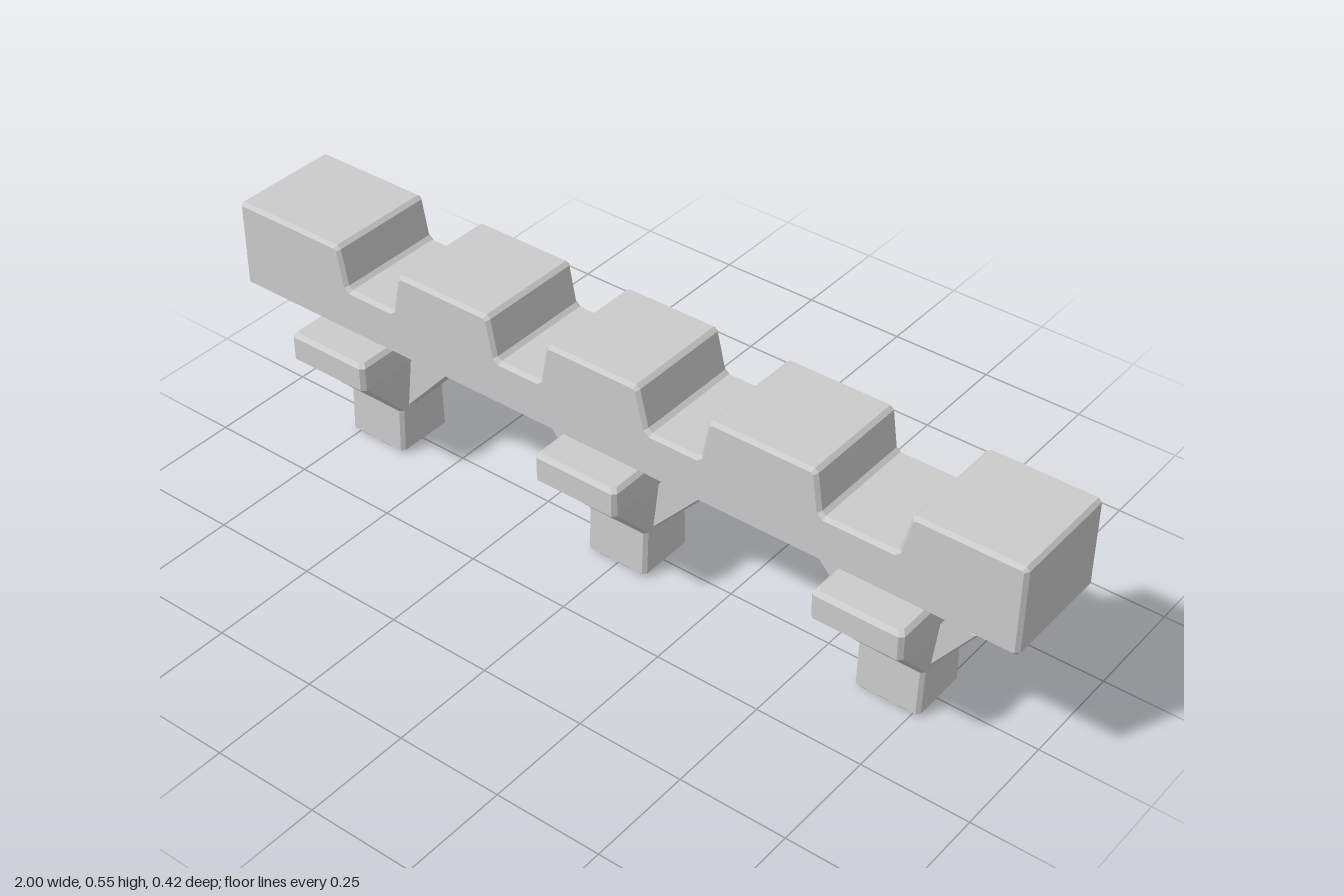
import * as THREE from 'three';

const material = new THREE.MeshStandardMaterial({ color: 0xcccccc, flatShading: true });

// Cuts every corner of a polygon by c
function chamfer(points, c) {
  const out = [];
  points.forEach((p, i) => {
    const here = new THREE.Vector2(...p);
    for (const j of [i + points.length - 1, i + 1]) {
      const dir = new THREE.Vector2(...points[j % points.length]).sub(here).normalize();
      out.push(here.clone().addScaledVector(dir, c));
    }
  });
  return out;
}

// Side profile extruded across z, with all edges bevelled
function extrudeProfile(name, points, halfDepth, bevel) {
  const geometry = new THREE.ExtrudeGeometry(new THREE.Shape(chamfer(points, bevel)), {
    depth: 2 * (halfDepth - bevel), bevelEnabled: true, bevelSegments: 1,
    bevelThickness: bevel, bevelSize: bevel, bevelOffset: -bevel,
  });
  geometry.translate(0, 0, bevel - halfDepth);
  const mesh = new THREE.Mesh(geometry, material);
  mesh.name = name;
  return mesh;
}

// Upright solid through corner-cut rectangles given as [y, half width, half depth]
function loft(name, levels, c) {
  const positions = [], index = [];
  for (const [y, w, d] of levels) {
    positions.push(
      w, y, d - c, w - c, y, d, c - w, y, d, -w, y, d - c,
      -w, y, c - d, c - w, y, -d, w - c, y, -d, w, y, c - d);
  }
  for (let l = 0; l < levels.length - 1; l++) {
    for (let i = 0; i < 8; i++) {
      const a = l * 8 + i, b = l * 8 + (i + 1) % 8;
      index.push(a, a + 8, b, b, a + 8, b + 8);
    }
  }
  const top = (levels.length - 1) * 8;
  for (let i = 1; i < 7; i++) {
    index.push(0, i, i + 1, top, top + i + 1, top + i);
  }
  const indexed = new THREE.BufferGeometry();
  indexed.setAttribute('position', new THREE.Float32BufferAttribute(positions, 3));
  indexed.setIndex(index);
  const geometry = indexed.toNonIndexed();
  geometry.computeVertexNormals();
  const mesh = new THREE.Mesh(geometry, material);
  mesh.name = name;
  return mesh;
}

export function createModel() {
  const model = new THREE.Group();
  model.name = 'battlementWalkway';

  // Parapet with sloped notches: [top start, floor start, floor end, top end]
  const notches = [
    [-0.705, -0.685, -0.555, -0.535], [-0.285, -0.265, -0.15, -0.13],
    [0.105, 0.13, 0.26, 0.28], [0.535, 0.55, 0.725, 0.75],
  ];
  const outline = [[-1, 0.548], [-1, 0.335], [1, 0.335], [1, 0.548]];
  for (const [a, b, c, d] of notches.reverse()) {
    outline.push([d, 0.548], [c, 0.447], [b, 0.447], [a, 0.548]);
  }
  model.add(extrudeProfile('parapet', outline, 0.135, 0.008));

  // Lengthwise beam with a pair of diagonal braces at each post
  const posts = [-0.69, 0, 0.69];
  const beam = [[-0.39, 0.337], [-0.867, 0.255]];
  for (const x of posts) {
    if (x > -0.5) beam.push([x - 0.2, 0.255]);
    beam.push([x - 0.07, 0.11], [x + 0.07, 0.11]);
    if (x < 0.5) beam.push([x + 0.2, 0.255]);
  }
  beam.push([0.867, 0.255], [0.39, 0.337]);
  model.add(extrudeProfile('bracedBeam', beam, 0.047, 0.004));

  // Posts flaring out to the crossbeams
  for (const x of posts) {
    const support = new THREE.Group();
    support.name = 'support';
    support.position.x = x;
    support.add(
      loft('post', [[0, 0.069, 0.066], [0.009, 0.078, 0.074], [0.117, 0.078, 0.07], [0.258, 0.094, 0.2]], 0.008),
      loft('crossbeam', [[0.255, 0.097, 0.2], [0.264, 0.106, 0.209], [0.321, 0.106, 0.209], [0.33, 0.097, 0.2]], 0.009),
    );
    model.add(support);
  }
  return model;
}
